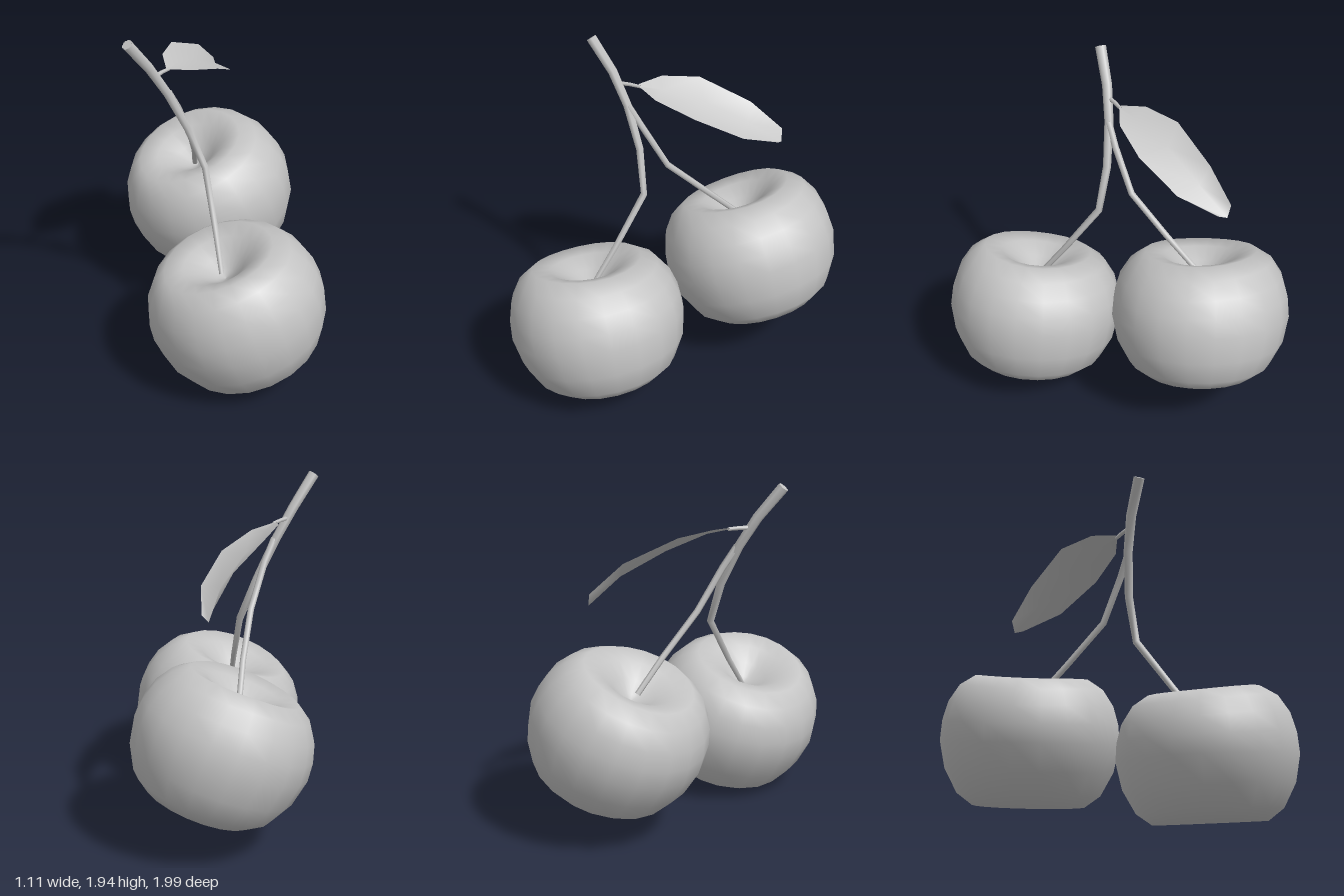
import * as THREE from 'three';

const V = (p) => new THREE.Vector3(...p);

// Polyline whose tube rings fall exactly on its points, so kinks stay crisp
class Polyline extends THREE.Curve {
  constructor(points) { super(); this.points = points.map(V); }
  getPoint(t, target = new THREE.Vector3()) {
    const n = this.points.length - 1;
    const i = Math.min(Math.floor(t * n), n - 1);
    return target.lerpVectors(this.points[i], this.points[i + 1], t * n - i);
  }
  getPointAt(t, target) { return this.getPoint(t, target); }
  getTangentAt(t, target) { return this.getTangent(t, target); }
}

// Tapered stalk with a flat cap at its first point
function stalk(name, points, r0, r1, material) {
  const sides = 6, n = points.length - 1;
  const curve = new Polyline(points);
  const geo = new THREE.TubeGeometry(curve, n, 1, sides);
  const pos = geo.attributes.position, v = new THREE.Vector3();
  for (let i = 0; i < pos.count; i++) {
    const ring = Math.floor(i / (sides + 1));
    const c = curve.points[ring];
    v.fromBufferAttribute(pos, i).sub(c).multiplyScalar(r0 + (r1 - r0) * ring / n).add(c);
    pos.setXYZ(i, v.x, v.y, v.z);
  }
  const group = new THREE.Group();
  group.name = name;
  const tube = new THREE.Mesh(geo, material);
  tube.name = name + 'Tube';
  const cap = new THREE.Mesh(new THREE.CircleGeometry(r0, sides), material);
  cap.name = name + 'Cap';
  cap.position.copy(curve.points[0]);
  cap.lookAt(curve.points[0].clone().multiplyScalar(2).sub(curve.points[1]));
  group.add(tube, cap);
  return group;
}

// Round fruit, hollowed at both ends; skew lifts the shoulder on the +z side
function cherry(name, center, tiltX, tiltZ, size, skew, material) {
  const profile = [
    [0, -0.265], [0.12, -0.275], [0.21, -0.325], [0.31, -0.35], [0.396, -0.285], [0.465, -0.153],
    [0.495, 0], [0.485, 0.1], [0.455, 0.195], [0.395, 0.285], [0.31, 0.345], [0.21, 0.325],
    [0.12, 0.265], [0.05, 0.215], [0, 0.2],
  ].map(([r, y]) => new THREE.Vector2(r, y));
  const geo = new THREE.LatheGeometry(profile, 20);
  const pos = geo.attributes.position;
  for (let i = 0; i < pos.count; i++) {
    const y = pos.getY(i), z = pos.getZ(i);
    if (y > 0) pos.setY(i, y * (1 + 0.5 * z * z + skew * z));
    pos.setZ(i, z * 1.01);
  }
  // Recompute smooth normals, then match them across the lathe seam
  geo.computeVertexNormals();
  const normal = geo.attributes.normal, rows = profile.length, last = pos.count - rows;
  for (let j = 0; j < rows; j++) {
    const n = new THREE.Vector3().fromBufferAttribute(normal, j)
      .add(new THREE.Vector3().fromBufferAttribute(normal, last + j)).normalize();
    normal.setXYZ(j, n.x, n.y, n.z);
    normal.setXYZ(last + j, n.x, n.y, n.z);
  }
  const mesh = new THREE.Mesh(geo, material);
  mesh.name = name;
  mesh.position.set(...center);
  mesh.rotation.set(tiltX, 0, tiltZ);
  mesh.scale.setScalar(size);
  return mesh;
}

// Folded, drooping leaf: each row holds left edge, midrib and right edge
function leaf(material) {
  const rows = [
    [[-0.3, 1.695, 0.04], [-0.295, 1.685, 0.045], [-0.28, 1.685, 0.045]],
    [[-0.29, 1.71, -0.1], [-0.22, 1.67, -0.06], [-0.16, 1.655, 0.02]],
    [[-0.2, 1.69, -0.29], [-0.09, 1.595, -0.25], [0.02, 1.58, -0.12]],
    [[0.0, 1.565, -0.5], [0.06, 1.475, -0.45], [0.155, 1.455, -0.35]],
    [[0.12, 1.41, -0.635], [0.14, 1.34, -0.62], [0.172, 1.365, -0.575]],
  ];
  const index = [];
  for (let r = 0; r < rows.length - 1; r++) {
    for (let c = 0; c < 2; c++) {
      const a = r * 3 + c, b = a + 1, d = a + 3, e = a + 4;
      index.push(a, b, d, b, e, d);
    }
  }
  const geo = new THREE.BufferGeometry();
  geo.setAttribute('position', new THREE.Float32BufferAttribute(rows.flat(2), 3));
  geo.setIndex(index);
  geo.computeVertexNormals();
  const mesh = new THREE.Mesh(geo, material);
  mesh.name = 'leaf';
  return mesh;
}

export function createModel() {
  const grey = new THREE.MeshStandardMaterial({ color: 0xc4c4c4, side: THREE.DoubleSide });
  grey.name = 'plain grey';
  const model = new THREE.Group();
  model.name = 'cherryPair';
  model.add(
    cherry('frontCherry', [-0.02, 0.43, 0.5], 0, 0.32, 1, 0.13, grey),
    cherry('backCherry', [0.06, 0.605, -0.49], 0.08, 0.38, 1.01, -0.06, grey),
    // Main stem runs down to the front cherry
    stalk('mainStem', [
      [-0.53, 1.92, 0.2], [-0.41, 1.75, 0.14], [-0.31, 1.58, 0.11], [-0.2, 1.35, 0.1],
      [-0.11, 1.11, 0.13], [-0.1, 0.82, 0.33], [-0.1, 0.63, 0.47],
    ], 0.031, 0.015, grey),
    // Side branch to the back cherry
    stalk('branchStem', [
      [-0.3, 1.58, 0.11], [-0.24, 1.46, 0.06], [-0.15, 1.22, -0.05],
      [-0.08, 1.0, -0.27], [-0.04, 0.83, -0.44],
    ], 0.02, 0.016, grey),
    stalk('leafStalk', [[-0.37, 1.69, 0.12], [-0.33, 1.69, 0.08], [-0.285, 1.685, 0.04]], 0.013, 0.01, grey),
    leaf(grey),
  );
  return model;
}
